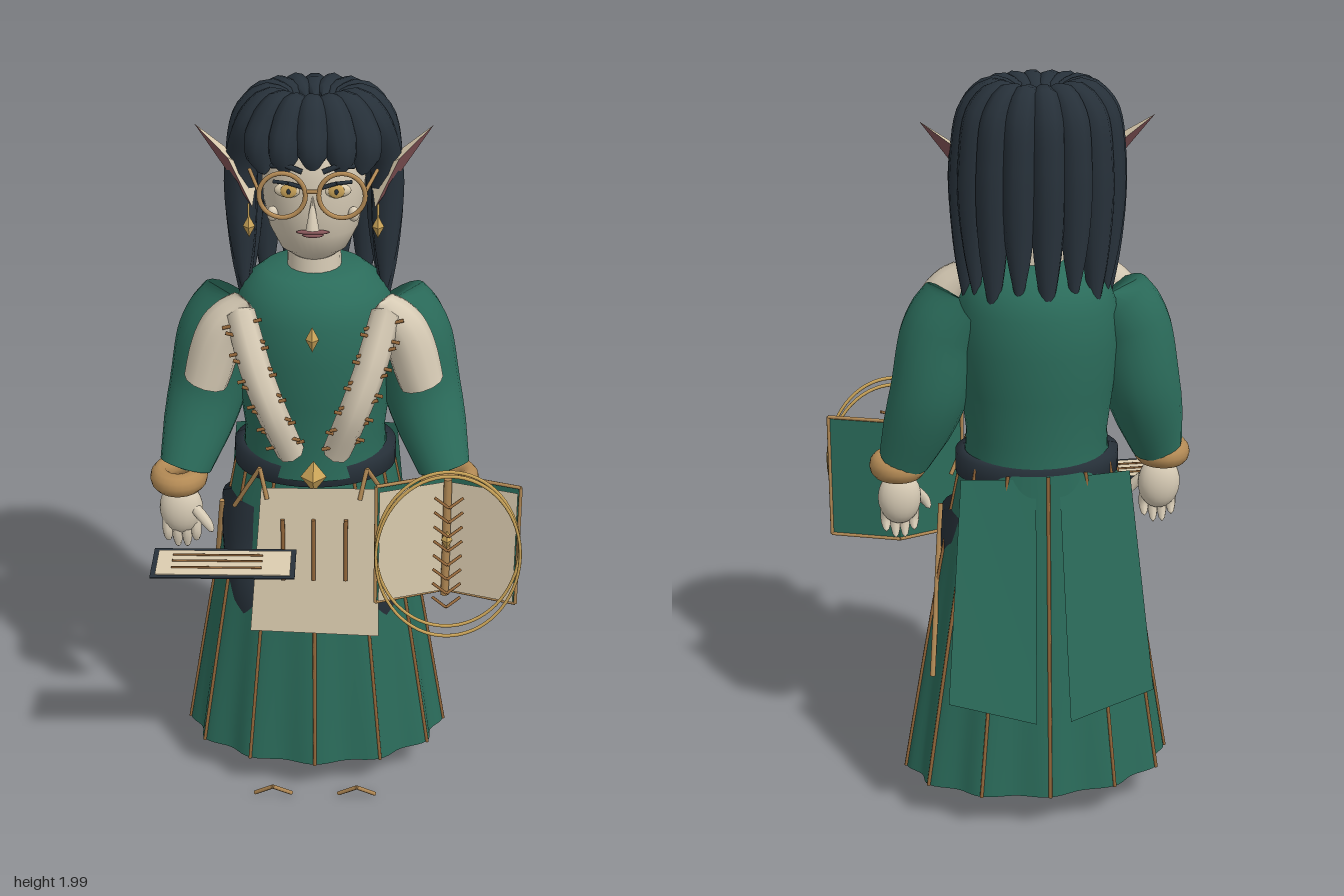
import * as THREE from 'three';

const V = (x, y, z) => new THREE.Vector3(x, y, z);
const mat = (name, color, side = THREE.FrontSide) => {
  const m = new THREE.MeshStandardMaterial({ color, side });
  m.name = name;
  return m;
};

export function createModel() {
  const D = THREE.DoubleSide;
  const green = mat('green cloth', 0x2b6c5b, D), navy = mat('dark navy', 0x27313a, D);
  const skin = mat('pale skin', 0xd8ccb6), paper = mat('parchment', 0xdccdb0, D);
  const gold = mat('gold', 0xcda65a), bronze = mat('bronze', 0xb38a55);
  const brown = mat('brown trim', 0x95683b), mauve = mat('mauve', 0x855558, D);

  const model = new THREE.Group();
  const body = new THREE.Group();
  body.name = 'figure';
  body.position.x = -0.05;
  model.add(body);

  const add = (name, geo, m, x = 0, y = 0, z = 0) => {
    const mesh = new THREE.Mesh(geo, m);
    mesh.name = name;
    mesh.position.set(x, y, z);
    body.add(mesh);
    return mesh;
  };
  const ball = (name, m, x, y, z, rx, ry, rz) =>
    add(name, new THREE.SphereGeometry(1, 20, 14), m, x, y, z).scale.set(rx, ry, rz);
  const gem = (name, x, y, z, w, h) =>
    add(name, new THREE.OctahedronGeometry(1), gold, x, y, z).scale.set(w, h, w);
  // straight rods joining a list of points
  const rods = (name, pts, r, m) => {
    for (let i = 1; i < pts.length; i++) {
      const d = pts[i].clone().sub(pts[i - 1]);
      const rod = add(name, new THREE.CylinderGeometry(r, r, d.length(), 6), m);
      rod.position.copy(pts[i]).add(pts[i - 1]).multiplyScalar(0.5);
      rod.quaternion.setFromUnitVectors(V(0, 1, 0), d.normalize());
    }
  };
  // curved tube whose radius follows a list of values, closed at both ends
  const limb = (name, pts, radii, m, segs = 24, sides = 12) => {
    const curve = new THREE.CatmullRomCurve3(pts);
    const geo = new THREE.TubeGeometry(curve, segs, 1, sides);
    const p = geo.attributes.position, v = V(0, 0, 0);
    for (let i = 0; i <= segs; i++) {
      const c = curve.getPointAt(i / segs), k = (i / segs) * (radii.length - 1);
      const a = Math.min(Math.floor(k), radii.length - 2);
      const r = i % segs === 0 ? 0 : THREE.MathUtils.lerp(radii[a], radii[a + 1], k - a);
      for (let j = 0; j <= sides; j++) {
        const n = i * (sides + 1) + j;
        v.fromBufferAttribute(p, n).sub(c).multiplyScalar(r).add(c);
        p.setXYZ(n, v.x, v.y, v.z);
      }
    }
    add(name, geo, m);
  };
  const lathe = (name, pts, m, z, depth) => {
    const geo = new THREE.LatheGeometry(pts.map(p => new THREE.Vector2(...p)), 40);
    add(name, geo, m, 0, 0, z).scale.z = depth;
  };
  // flat panel from its corners
  const panel = (name, c, m) => {
    const geo = new THREE.BufferGeometry().setFromPoints(c);
    geo.setIndex(c.length === 4 ? [0, 1, 2, 0, 2, 3] : [0, 1, 2]);
    geo.computeVertexNormals();
    add(name, geo, m);
  };

  // pleated skirt with trim on every pleat
  const skirtPoint = (a, t, grow = 0) => {
    const w = 0.2 + 0.15 * Math.pow(t, 0.9) + grow, d = 0.162 + 0.06 * t + grow;
    const f = 1 + 0.035 * t * Math.cos(12 * a);
    return V(Math.sin(a) * w * f, 1.01 - 0.9 * t, -0.063 + Math.cos(a) * d * f);
  };
  const rows = Array.from({ length: 13 }, (_, i) => new THREE.Vector2(1, i / 12));
  const skirtGeo = new THREE.LatheGeometry(rows, 120);
  const sp = skirtGeo.attributes.position;
  for (let i = 0; i < sp.count; i++) {
    const q = skirtPoint(Math.atan2(sp.getX(i), sp.getZ(i)), 1 - sp.getY(i));
    sp.setXYZ(i, q.x, q.y, q.z);
  }
  skirtGeo.computeVertexNormals();
  add('skirt', skirtGeo, green);
  for (let i = 0; i < 12; i++) {
    const line = [0, 0.25, 0.5, 0.75, 1].map(t => skirtPoint(i * Math.PI / 6, t, 0.002));
    add('skirtTrim', new THREE.TubeGeometry(new THREE.CatmullRomCurve3(line), 12, 0.005, 6), brown);
  }

  // bodice, belt, neck and head
  lathe('bodice', [[0.19, 0.99], [0.185, 1.08], [0.2, 1.2], [0.212, 1.32], [0.205, 1.42], [0.18, 1.485],
    [0.13, 1.525], [0.06, 1.535], [0, 1.535]], green, -0.045, 0.92);
  lathe('belt', [[0.19, 0.965], [0.215, 0.97], [0.215, 1.025], [0.19, 1.03]], navy, -0.05, 0.81);
  add('neck', new THREE.CylinderGeometry(0.065, 0.07, 0.12, 20), skin, 0, 1.57, -0.04);
  lathe('head', [[0, 1.56], [0.045, 1.565], [0.085, 1.595], [0.112, 1.65], [0.126, 1.72], [0.13, 1.8],
    [0.118, 1.87], [0.075, 1.92], [0, 1.93]], skin, -0.02, 0.94);
  gem('brooch', 0, 1.425, 0.195, 0.017, 0.034);
  gem('beltGem', 0, 1.015, 0.148, 0.034, 0.046);

  // face
  add('nose', new THREE.ConeGeometry(0.017, 0.09, 8), skin, 0, 1.725, 0.107).rotation.x = -0.2;
  ball('upperLip', mauve, 0, 1.668, 0.094, 0.042, 0.006, 0.009);
  ball('lowerLip', mauve, 0, 1.66, 0.094, 0.026, 0.006, 0.01);
  rods('glassesBridge', [V(-0.02, 1.79, 0.14), V(0.02, 1.79, 0.14)], 0.005, bronze);

  for (const s of [1, -1]) {
    const P = (x, y, z) => V(s * x, y, z);
    ball('eye', paper, s * 0.058, 1.775, 0.088, 0.036, 0.019, 0.014);
    ball('iris', gold, s * 0.058, 1.776, 0.099, 0.02, 0.018, 0.006);
    ball('pupil', navy, s * 0.058, 1.776, 0.104, 0.005, 0.007, 0.003);
    rods('eyelash', [P(0.022, 1.787, 0.105), P(0.058, 1.799, 0.107), P(0.095, 1.797, 0.09)], 0.005, navy);
    rods('eyebrow', [P(0.025, 1.828, 0.108), P(0.065, 1.843, 0.102), P(0.1, 1.833, 0.08)], 0.007, navy);
    ball('cheekBead', skin, s * 0.1, 1.705, 0.065, 0.014, 0.019, 0.014);
    add('glassesRim', new THREE.TorusGeometry(0.056, 0.006, 8, 32), bronze, s * 0.072, 1.78, 0.14);
    rods('glassesArm', [P(0.128, 1.79, 0.14), P(0.157, 1.8, 0.015)], 0.005, bronze);
    // pointed ear
    const tip = P(0.295, 1.895, -0.05), a = P(0.21, 1.83, 0.015), b = P(0.152, 1.7, 0.01), c = P(0.14, 1.775, -0.045);
    [[tip, a, c], [a, b, c]].forEach(t => panel('ear', t, paper));
    [[tip, a, b], [tip, b, c]].forEach(t => panel('innerEar', t, mauve));
    rods('earringWire', [P(0.16, 1.72, 0.035), P(0.16, 1.68, 0.035)], 0.003, gold);
    gem('earring', s * 0.16, 1.66, 0.035, 0.015, 0.03);

    // sleeve, cuff and bare shoulder
    limb('sleeve', [P(0.19, 1.43, -0.033), P(0.24, 1.35, -0.033), P(0.282, 1.18, -0.03), P(0.345, 0.97, 0.035)],
      [0.1, 0.108, 0.109, 0.106, 0.103, 0.098, 0.09, 0.078, 0.066], green, 32, 20);
    limb('shoulder', [P(0.165, 1.475, 0.08), P(0.225, 1.41, 0.086), P(0.278, 1.25, 0.086)],
      [0.038, 0.052, 0.06, 0.062, 0.062, 0.06, 0.056], skin, 28);
    const cuff = add('cuff', new THREE.TorusGeometry(0.05, 0.026, 12, 28), bronze, s * 0.358, 0.96, 0.045);
    cuff.rotation.x = Math.PI / 2;
    cuff.scale.set(1, 1.15, 1.2);
    // hand
    ball('palm', skin, s * 0.355, 0.865, 0.05, 0.058, 0.075, 0.042);
    for (let f = 0; f < 4; f++) {
      const x = 0.317 + f * 0.025, y = f % 3 ? 0.745 : 0.765;
      limb('finger', [P(x, 0.85, 0.055), P(x, 0.8, 0.062), P(x, y, 0.05)], [0.012, 0.015, 0.014, 0.006], skin, 10, 8);
    }
    limb('thumb', [P(0.32, 0.88, 0.07), P(0.285, 0.84, 0.085), P(0.27, 0.81, 0.085)], [0.015, 0.016, 0.014, 0.006], skin, 10, 8);

    // laced chest strap
    const strap = [P(0.185, 1.475, 0.112), P(0.143, 1.33, 0.166), P(0.105, 1.22, 0.178), P(0.055, 1.07, 0.135)];
    limb('chestStrap', strap, [0.037, 0.04, 0.04, 0.039, 0.036], skin, 36, 8);
    const path = new THREE.CatmullRomCurve3(strap);
    for (let i = 0; i < 11; i++) {
      const q = path.getPointAt(0.08 + i * 0.08), e = i % 2 ? 0.012 : -0.012;
      rods('lacing', [V(q.x - 0.049, q.y + e, q.z + 0.019), V(q.x + 0.049, q.y - e, q.z + 0.019)], 0.0045, brown);
    }

    // legs, boots and toe chevrons
    limb('leg', [P(0.148, 0.885, -0.045), P(0.15, 0.75, -0.035), P(0.145, 0.6, -0.005), P(0.117, 0.32, -0.027), P(0.115, 0.1, -0.027)],
      [0.102, 0.106, 0.1, 0.094, 0.09, 0.08, 0.075, 0.075], navy, 40, 20);
    add('boot', new THREE.CylinderGeometry(0.079, 0.081, 0.28, 24), navy, s * 0.117, 0.185, -0.027);
    rods('toeChevron', [P(0.066, 0.012, 0.168), P(0.117, 0.056, 0.197), P(0.168, 0.012, 0.168)], 0.006, bronze);

    // belt hangers and coat tails
    rods('beltHanger', [P(0.21, 0.9, 0.1), P(0.138, 1.04, 0.15), P(0.12, 0.96, 0.17)], 0.006, bronze);
    rods('sideRod', [P(0.25, 0.86, 0.0), P(0.295, 0.42, -0.14)], 0.007, bronze);
    panel('coatTail', [P(0.22, 1.0, -0.19), P(0.03, 1.0, -0.218), P(0.045, 0.36, -0.338), P(0.272, 0.42, -0.305)], green);
  }

  // hair: a ring of tapering locks, short over the forehead
  for (let i = 0; i < 16; i++) {
    const front = Math.min(i, 16 - i), turn = Math.PI / 8;
    // the locks beside the face fall behind the cheek
    const hang = (front === 3 ? (i < 8 ? 3.7 : 12.3) : i) * turn;
    const at = (r, y, a = i * turn) => V(Math.sin(a) * r, y, -0.053 + Math.cos(a) * r * 0.8);
    const end = 1.4 + (i % 2) * 0.05;
    const top = [at(0.052, 1.95), at(0.115, 1.963), at(0.16, 1.915)];
    if (front <= 2) limb('fringeLock', [...top, at(0.18, 1.87), at(0.168, 1.82 - front * 0.012)],
      [0.022, 0.034, 0.043, 0.044, 0.036, 0.008], navy, 20, 10);
    else limb('hairLock', [...top, at(0.18, 1.8, hang), at(0.182, 1.6, hang), at(0.18, end, hang)],
      [0.022, 0.035, 0.043, 0.043, 0.043, 0.043, 0.041, 0.036, 0.028, 0.017, 0.004], navy, 32, 10);
  }

  // apron with three bars
  panel('apron', [V(-0.135, 0.99, 0.165), V(-0.17, 0.56, 0.176), V(0.173, 0.545, 0.176), V(0.165, 0.99, 0.165)], paper);
  for (const x of [-0.08, 0, 0.084]) rods('apronBar', [V(x, 0.9, 0.172), V(x, 0.72, 0.176)], 0.006, brown);

  // floating tablet
  add('tablet', new THREE.BoxGeometry(0.37, 0.003, 0.145), navy, -0.229, 0.82, 0.2625);
  add('tabletPage', new THREE.BoxGeometry(0.345, 0.002, 0.12), paper, -0.229, 0.8225, 0.2625);
  for (const z of [0.228, 0.257, 0.29]) rods('tabletLine', [V(-0.363, 0.825, z), V(-0.13, 0.825, z)], 0.003, brown);

  // open book with trimmed covers and facing pages
  const bx = 0.345, lo = 0.69, hi = 1.035;
  for (const s of [1, -1]) {
    const edge = bx + s * 0.183;
    panel('bookCover', [V(bx, lo, 0.167), V(edge, lo, 0.234), V(edge, hi, 0.234), V(bx, hi, 0.167)], green);
    panel('bookPage', [V(bx, lo + 0.01, 0.185), V(edge - s * 0.008, lo + 0.01, 0.246),
      V(edge - s * 0.008, hi - 0.01, 0.246), V(bx, hi - 0.01, 0.185)], paper);
    rods('bookTrim', [V(bx, lo, 0.167), V(edge, lo, 0.234), V(edge, hi, 0.234), V(bx, hi, 0.167)], 0.005, bronze);
  }
  rods('bookSpine', [V(bx, lo, 0.19), V(bx, hi, 0.19)], 0.012, bronze);
  gem('bookGem', bx, 0.875, 0.225, 0.015, 0.028);
  for (let i = 0; i < 8; i++) {
    const y = 0.715 + i * 0.042;
    rods('bookStitch', [V(bx - 0.036, y + 0.018, 0.275), V(bx, y, 0.296), V(bx + 0.036, y + 0.018, 0.275)], 0.004, brown);
  }
  [[0.279, 0.228], [0.315, 0.235]].forEach(([z, h]) =>
    add('bookHalo', new THREE.TorusGeometry(1, 0.022, 8, 64), gold, bx, 0.875, z).scale.set(0.183, h, 0.17));

  return model;
}
